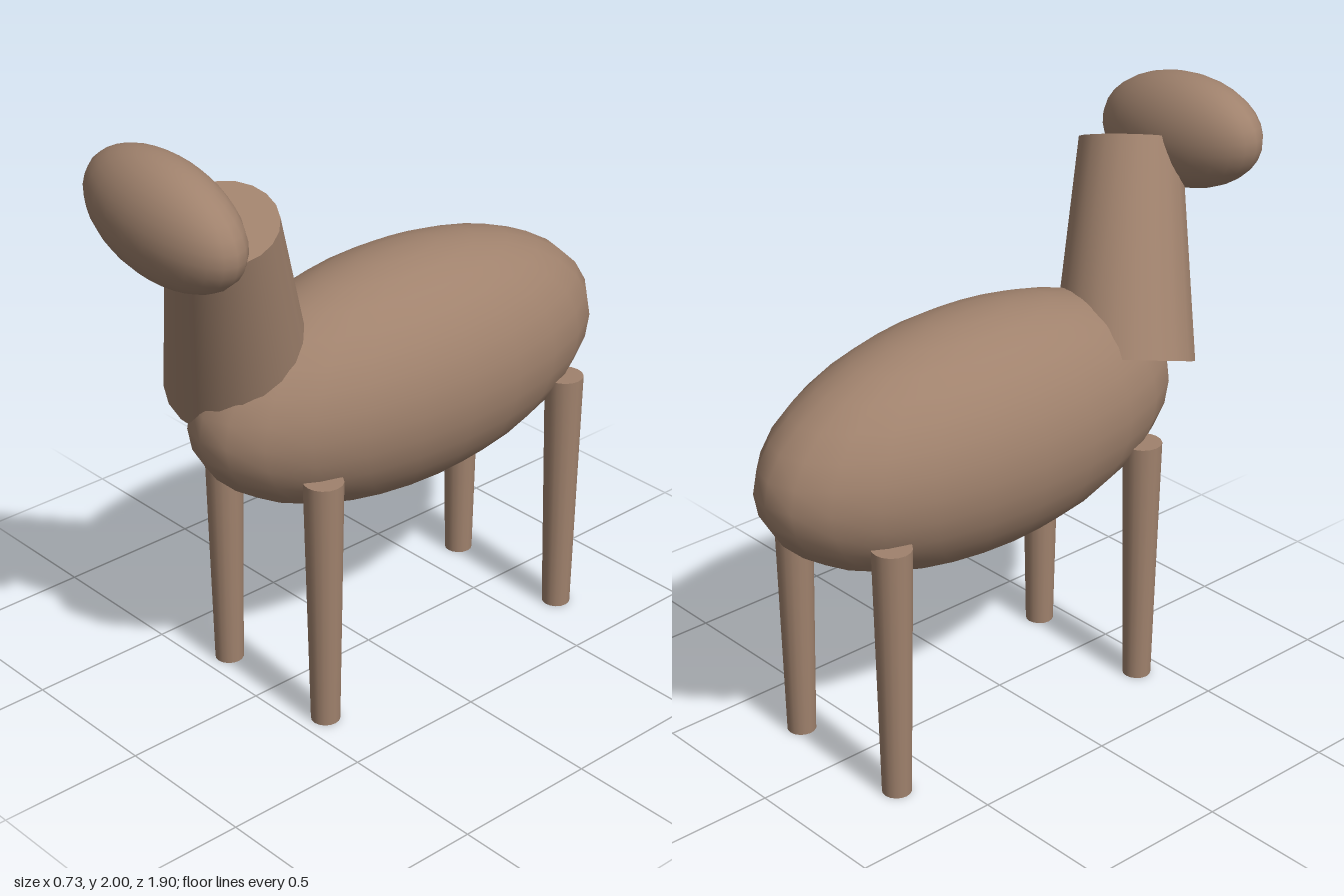
import * as THREE from 'three';

export function createModel() {
  const group = new THREE.Group();
  group.name = 'animal';
  const hide = new THREE.MeshStandardMaterial({ color: 0xa0826d });
  hide.name = 'brown hide';

  const add = (name, geometry, x, y, z) => {
    const mesh = new THREE.Mesh(geometry, hide);
    mesh.name = name;
    mesh.position.set(x, y, z);
    group.add(mesh);
    return mesh;
  };

  // Body: long ellipsoid
  add('body', new THREE.SphereGeometry(1, 24, 16), 0, 1.025, -0.125)
    .scale.set(0.365, 0.405, 0.825);

  // Neck: tapered cylinder leaning forward and to the left
  const base = new THREE.Vector3(-0.108, 1.12, 0.45);
  const tip = new THREE.Vector3(0.1, 1.78, 0.665);
  const axis = tip.clone().sub(base);
  const middle = base.clone().add(tip).multiplyScalar(0.5);
  const neck = add('neck', new THREE.CylinderGeometry(0.17, 0.237, axis.length(), 20),
    middle.x, middle.y, middle.z);
  neck.quaternion.setFromUnitVectors(new THREE.Vector3(0, 1, 0), axis.normalize());

  // Head: wide ellipsoid, tilted sideways
  const head = add('head', new THREE.SphereGeometry(1, 24, 16), 0, 1.805, 0.8);
  head.scale.set(0.337, 0.192, 0.155);
  head.rotation.z = -0.131;

  // Legs: four tapered posts
  const legGeometry = new THREE.CylinderGeometry(0.065, 0.048, 0.88, 16);
  for (const [end, z] of [['front', 0.41], ['back', -0.66]]) {
    for (const [side, x] of [['Left', 0.245], ['Right', -0.245]]) {
      add(`${end}${side}Leg`, legGeometry, x, 0.44, z);
    }
  }

  return group;
}
